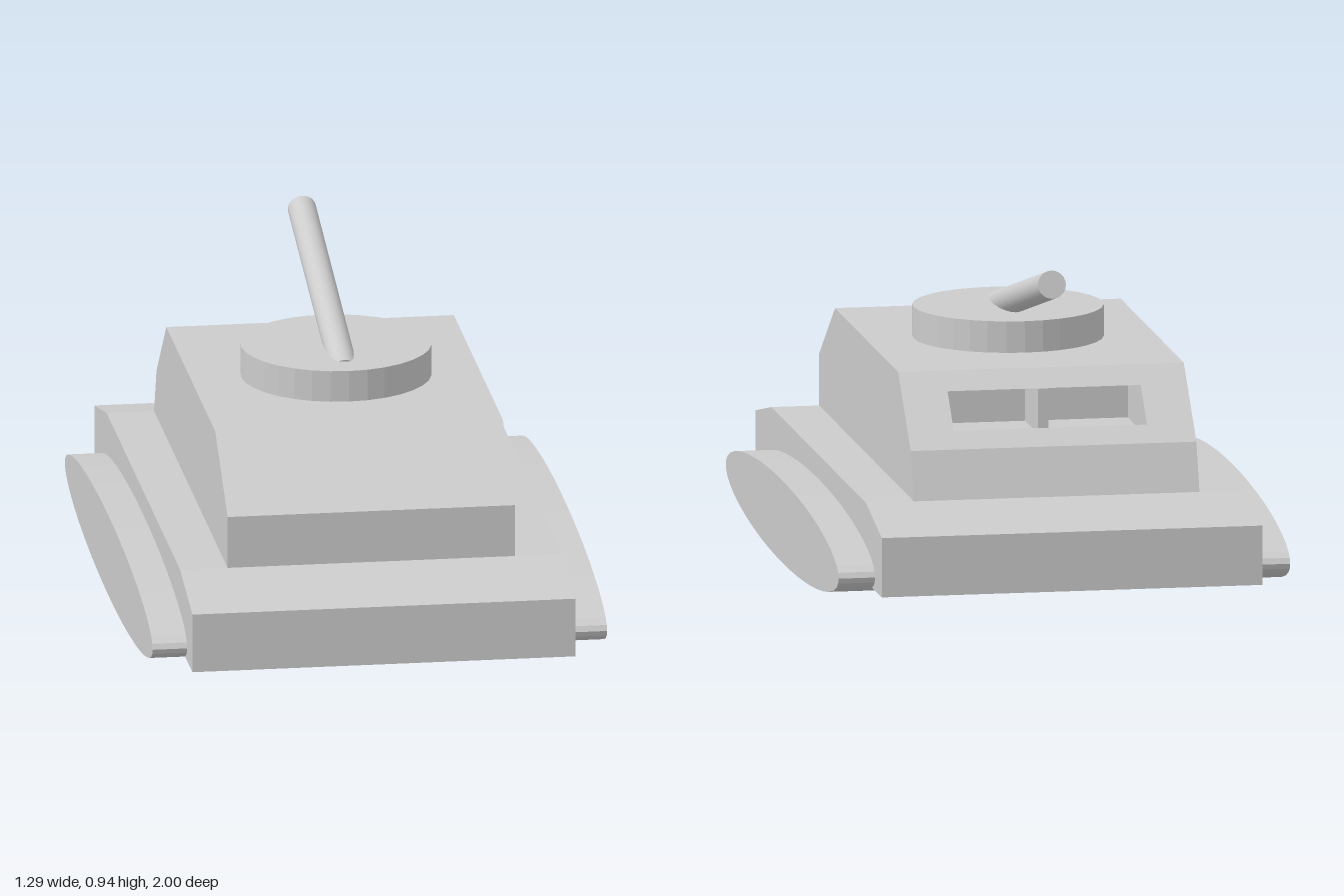
import * as THREE from 'three';

const material = new THREE.MeshStandardMaterial({ color: 0xcccccc, flatShading: true });

export function createModel() {
  const model = new THREE.Group();

  function add(name, geometry, parent = model) {
    const mesh = new THREE.Mesh(geometry, material);
    mesh.name = name;
    parent.add(mesh);
    return mesh;
  }

  // Side profile of [z, y] points, extruded from x0 to x1
  function slab(profile, x0, x1) {
    const shape = new THREE.Shape(profile.map(([z, y]) => new THREE.Vector2(z, y)));
    return new THREE.ExtrudeGeometry(shape, { depth: x1 - x0, bevelEnabled: false })
      .rotateY(-Math.PI / 2)
      .translate(x1, 0, 0);
  }

  // Hull with sloping decks at both ends
  add('hull', slab([
    [1, 0.08], [1, 0.25], [0.75, 0.305], [-0.75, 0.305], [-1, 0.25], [-1, 0.08],
  ], -0.548, 0.542));

  // Cabin: solid sides and a middle section notched for the window
  const outline = [
    [0.75, 0.305], [0.75, 0.455], [0.5, 0.63], [-0.5, 0.63], [-0.7, 0.44], [-0.75, 0.305],
  ];
  const notch = [[-0.553, 0.58], [-0.35, 0.58], [-0.35, 0.45], [-0.645, 0.45], [-0.653, 0.485]];
  const notched = [...outline.slice(0, 4), ...notch, ...outline.slice(4)];
  const cabin = new THREE.Group();
  cabin.name = 'cabin';
  model.add(cabin);
  add('cabinRightSide', slab(outline, -0.413, -0.28), cabin);
  add('cabinMiddle', slab(notched, -0.28, 0.273), cabin);
  add('cabinLeftSide', slab(outline, 0.273, 0.405), cabin);
  add('windowDivider', new THREE.BoxGeometry(0.03, 0.13, 0.21).translate(0, 0.515, -0.455), cabin);

  // Turret disc
  add('turret', new THREE.CylinderGeometry(0.27, 0.27, 0.09, 32)).position.y = 0.675;

  // Gun barrel, rising from the turret towards the rear
  const base = new THREE.Vector3(0, 0.686, 0.17);
  const tip = new THREE.Vector3(0, 0.903, -0.697);
  const barrelMaterial = material.clone();
  barrelMaterial.flatShading = false;
  const gun = add('gunBarrel', new THREE.CylinderGeometry(0.04, 0.04, base.distanceTo(tip), 24));
  gun.material = barrelMaterial;
  gun.position.copy(base).add(tip).multiplyScalar(0.5);
  gun.quaternion.setFromUnitVectors(new THREE.Vector3(0, 1, 0), tip.clone().sub(base).normalize());

  // Elliptical tracks
  for (const [name, side] of [['leftTrack', 1], ['rightTrack', -1]]) {
    const track = new THREE.CylinderGeometry(1, 1, 0.173, 48)
      .rotateZ(Math.PI / 2)
      .scale(1, 0.118, 0.895);
    add(name, track).position.set(side * 0.56, 0.118, 0);
  }

  return model;
}
